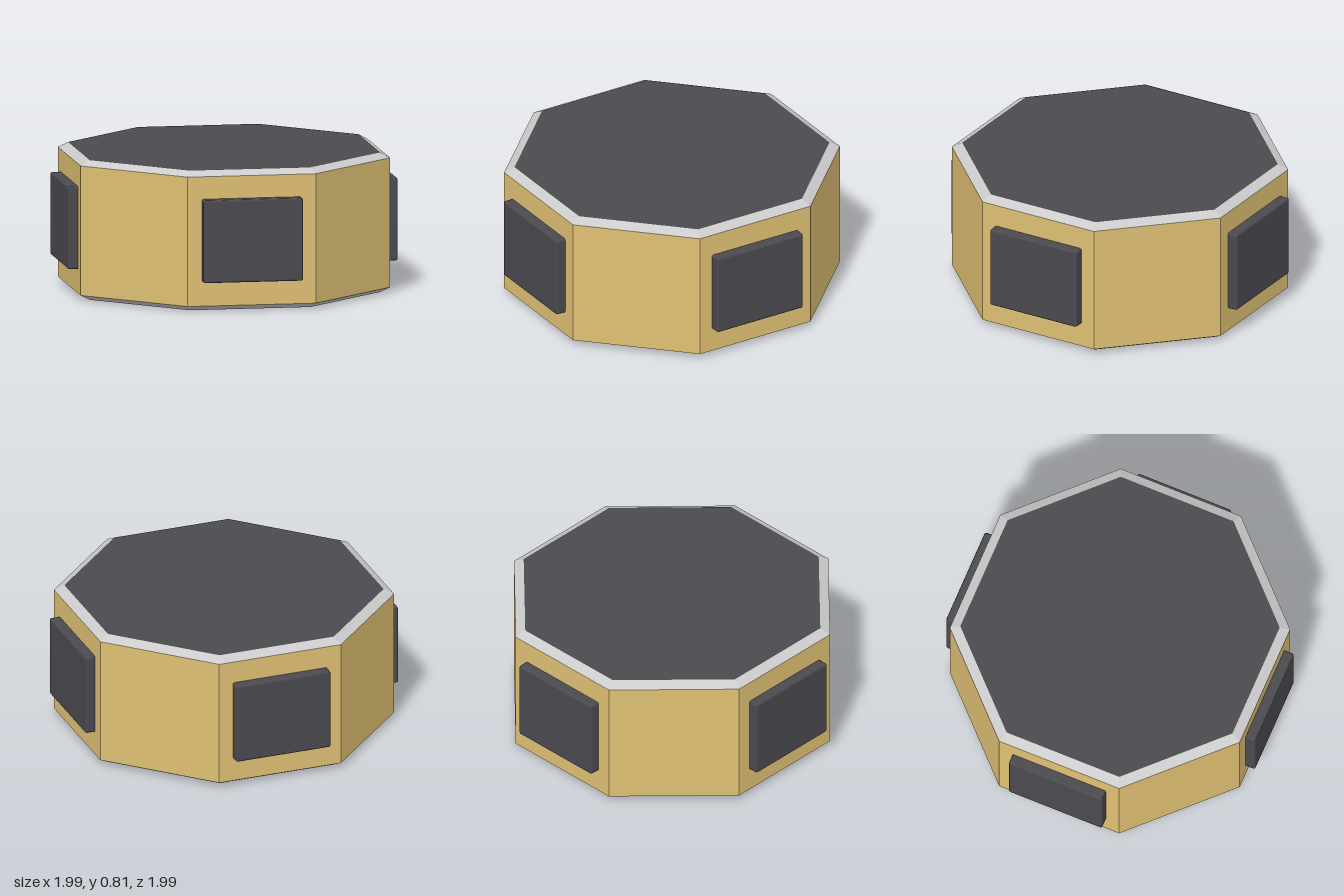
import * as THREE from 'three';
import { RoundedBoxGeometry } from 'three/addons/geometries/RoundedBoxGeometry.js';

export function createModel() {
  const model = new THREE.Group();
  const material = (color) => new THREE.MeshStandardMaterial({ color, flatShading: true });
  const gold = material(0xdfc073), dark = material(0x4a4a4f), grey = material(0xcccccc);

  const R = 0.975, capR = 0.915, H = 0.81, chamfer = 0.03;

  const add = (name, geometry, mat, y, parent = model) => {
    const mesh = new THREE.Mesh(geometry, mat);
    mesh.name = name;
    mesh.position.y = y;
    parent.add(mesh);
    return mesh;
  };

  // Octagonal wall, with a corner on each axis
  add('wall', new THREE.CylinderGeometry(R, R, H - 2 * chamfer, 8, 1, true), gold, H / 2);

  // Chamfered rims and flat end plates
  add('topRim', new THREE.CylinderGeometry(capR, R, chamfer, 8, 1, true), grey, H - chamfer / 2);
  add('bottomRim', new THREE.CylinderGeometry(R, capR, chamfer, 8, 1, true), grey, chamfer / 2);
  add('topPlate', new THREE.CircleGeometry(capR, 8).rotateX(-Math.PI / 2), dark, H);
  add('bottomPlate', new THREE.CircleGeometry(capR, 8).rotateX(Math.PI / 2), dark, 0);

  // Raised panels on every second side
  const panelGeometry = new RoundedBoxGeometry(0.58, 0.48, 0.08, 2, 0.012);
  for (let i = 0; i < 4; i++) {
    const mount = new THREE.Group();
    mount.name = 'panelMount' + (i + 1);
    mount.rotation.y = Math.PI / 8 + (i * Math.PI) / 2;
    add('sidePanel', panelGeometry, dark, 0.41, mount).position.z = 0.92;
    model.add(mount);
  }

  return model;
}
